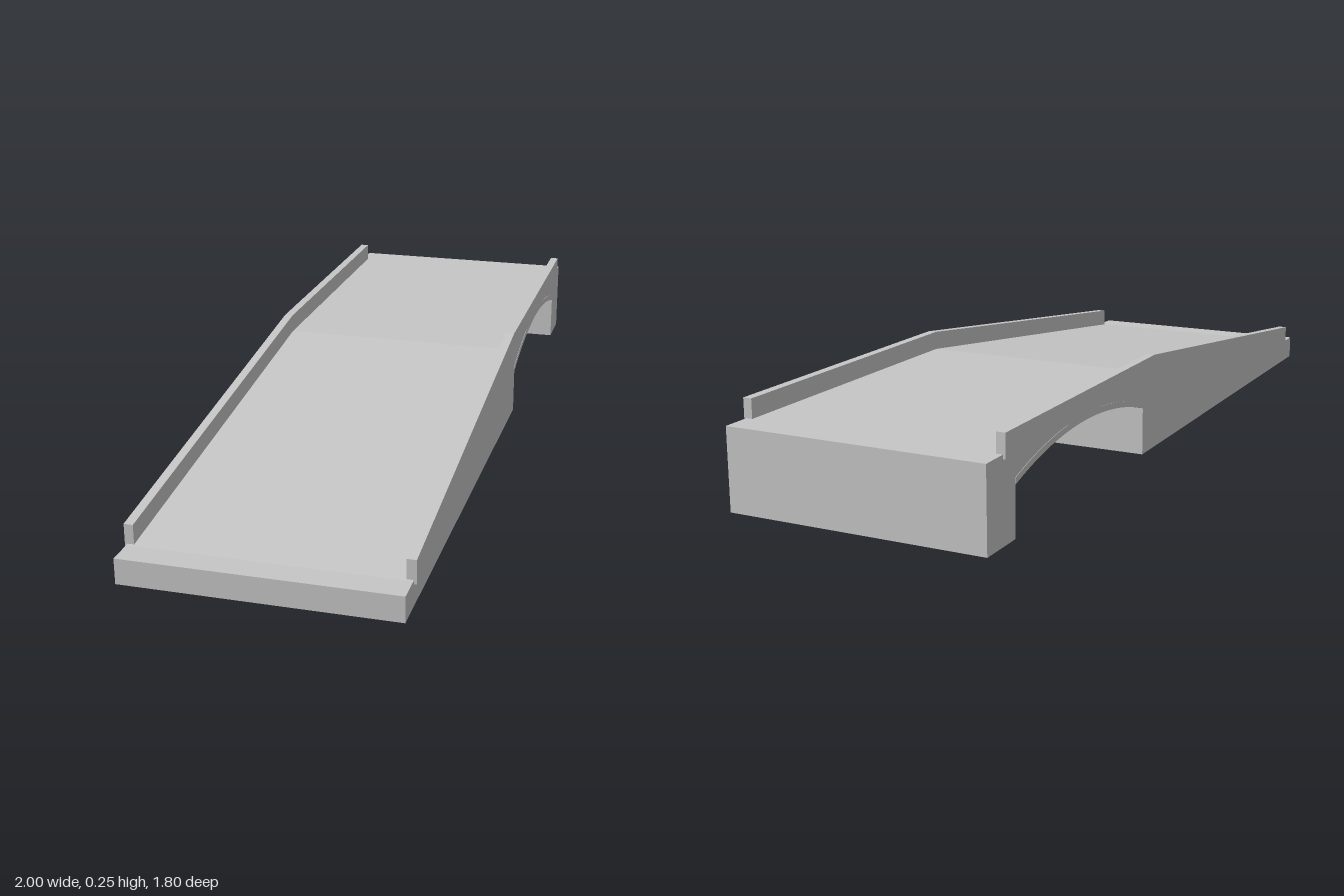
import * as THREE from 'three';

const HALF_L = 1.027, HALF_W = 0.324;   // half length and width of the bridge
const KINK = 0.157, FLAT = -0.96;       // where the ramp ends and begins
const ARCH = { x0: 0.217, x1: 0.903, spring: 0.12, rise: 0.054 };

// points of an arc over the opening, raised by 'up'
function arcPoints(up = 0, n = 24) {
  const half = (ARCH.x1 - ARCH.x0) / 2, mid = (ARCH.x0 + ARCH.x1) / 2;
  const r = (half * half + ARCH.rise * ARCH.rise) / (2 * ARCH.rise);
  const pts = [];
  for (let i = 0; i <= n; i++) {
    const x = -half + (2 * half * i) / n;
    const y = ARCH.spring + ARCH.rise - r + Math.sqrt(r * r - x * x) + up;
    pts.push(new THREE.Vector2(mid + x, y));
  }
  return pts;
}

// surface swept across the width along an open profile
function sweep(points) {
  const pos = [];
  for (let i = 0; i < points.length - 1; i++) {
    const a = points[i], b = points[i + 1], w = HALF_W;
    pos.push(a.x, a.y, w, b.x, b.y, w, b.x, b.y, -w);
    pos.push(a.x, a.y, w, b.x, b.y, -w, a.x, a.y, -w);
  }
  const g = new THREE.BufferGeometry();
  g.setAttribute('position', new THREE.Float32BufferAttribute(pos, 3));
  g.computeVertexNormals();
  return g;
}

export function createModel() {
  const concrete = new THREE.MeshStandardMaterial({ color: 0xc6c6c6, side: THREE.DoubleSide });
  concrete.name = 'concrete grey';
  const model = new THREE.Group();
  model.name = 'rampBridge';
  const bridge = new THREE.Group();
  bridge.name = 'bridge';
  bridge.rotation.y = 0.686;
  model.add(bridge);

  const add = (name, geometry, z = 0) => {
    const mesh = new THREE.Mesh(geometry, concrete);
    mesh.name = name;
    mesh.position.z = z;
    bridge.add(mesh);
  };
  const v = (x, y) => new THREE.Vector2(x, y);

  // deck with both end walls, open underneath
  const top = [v(-HALF_L, 0), v(-HALF_L, 0.062), v(FLAT, 0.062), v(KINK, 0.199), v(HALF_L, 0.199), v(HALF_L, 0)];
  add('deck', sweep(top));

  // arch soffit with its upright abutments
  const arc = arcPoints();
  const opening = [v(ARCH.x0, 0), ...arc, v(ARCH.x1, 0)];
  add('archSoffit', sweep(opening.slice().reverse()));

  // side walls with the arch cut out
  const wall = new THREE.Shape([...top, ...opening.slice().reverse()]);
  // parapet following the deck
  const rail = new THREE.Shape([
    v(-0.955, 0.053), v(KINK, 0.189), v(0.955, 0.189),
    v(0.955, 0.246), v(KINK, 0.246), v(-0.955, 0.11),
  ]);
  // slim ring above the arch
  const ring = new THREE.Shape([...arc, ...arcPoints(0.015).reverse()]);

  for (const [side, s] of [['front', 1], ['back', -1]]) {
    const wallGeometry = new THREE.ShapeGeometry(wall);
    if (s < 0) {
      // turn the back wall's faces outward
      wallGeometry.index.array.reverse();
      wallGeometry.attributes.normal.array.forEach((n, i, a) => { a[i] = -n; });
    }
    add(side + 'Wall', wallGeometry, s * HALF_W);
    const railGeometry = new THREE.ExtrudeGeometry(rail, { depth: 0.022, bevelEnabled: false });
    railGeometry.translate(0, 0, -0.011);
    add(side + 'Parapet', railGeometry, s * 0.319);
    const ringGeometry = new THREE.ExtrudeGeometry(ring, { depth: 0.002, bevelEnabled: false });
    ringGeometry.translate(0, 0, -0.001);
    add(side + 'ArchRing', ringGeometry, s * HALF_W);
  }
  return model;
}
